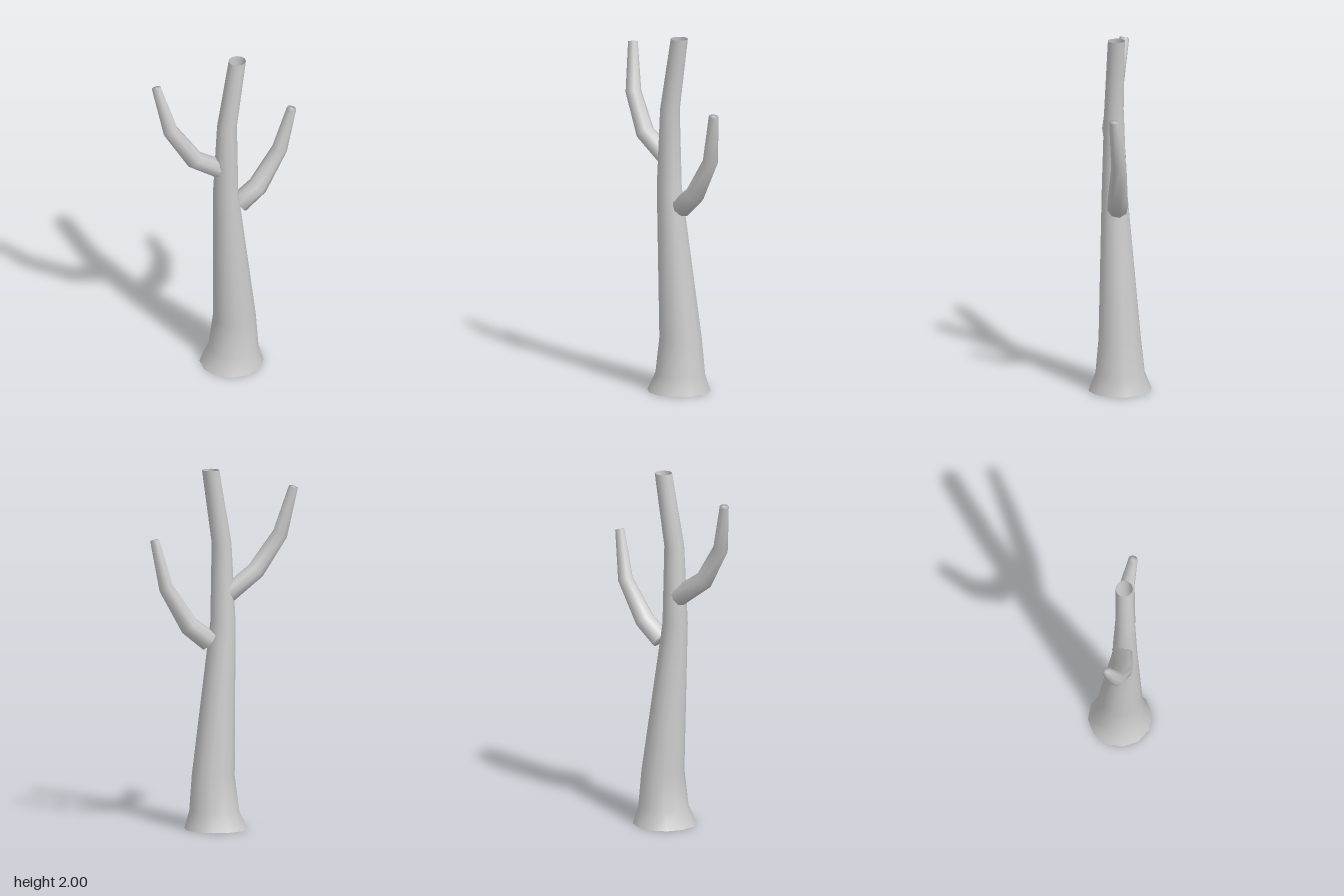
import * as THREE from 'three';

// Skin through circular rings [x, y, z, radius]; level rings stay horizontal, others follow the path
function limb(name, rings, sides, level, capped) {
  const pts = rings.map(r => new THREE.Vector3(r[0], r[1], r[2]));
  const up = new THREE.Vector3(0, 1, 0);
  const pos = [], index = [];
  rings.forEach((ring, i) => {
    const dir = up.clone();
    if (!level) {
      dir.set(0, 0, 0);
      if (i > 0) dir.add(pts[i].clone().sub(pts[i - 1]).normalize());
      if (i < pts.length - 1) dir.add(pts[i + 1].clone().sub(pts[i]).normalize());
      dir.normalize();
    }
    const q = new THREE.Quaternion().setFromUnitVectors(up, dir);
    for (let j = 0; j < sides; j++) {
      const a = (j / sides) * Math.PI * 2;
      const v = new THREE.Vector3(Math.sin(a), 0, Math.cos(a));
      v.multiplyScalar(ring[3]).applyQuaternion(q).add(pts[i]);
      pos.push(v.x, v.y, v.z);
    }
  });
  const last = (rings.length - 1) * sides;
  for (let i = 0; i < last; i += sides) {
    for (let j = 0; j < sides; j++) {
      const k = (j + 1) % sides;
      index.push(i + j, i + k, i + sides + k, i + j, i + sides + k, i + sides + j);
    }
  }
  if (capped) {
    const c = pos.length / 3;
    pos.push(...pts[0].toArray(), ...pts[pts.length - 1].toArray());
    for (let j = 0; j < sides; j++) {
      const k = (j + 1) % sides;
      index.push(c, k, j, c + 1, last + j, last + k);
    }
  }
  const geo = new THREE.BufferGeometry();
  geo.setAttribute('position', new THREE.Float32BufferAttribute(pos, 3));
  geo.setIndex(index);
  geo.computeVertexNormals();
  const mat = new THREE.MeshStandardMaterial({ color: 0xcccccc, side: THREE.DoubleSide });
  const mesh = new THREE.Mesh(geo, mat);
  mesh.name = name;
  return mesh;
}

export function createModel() {
  const tree = new THREE.Group();
  tree.name = 'bareTree';

  // Hollow trunk, flared at the foot and open at both ends
  tree.add(limb('trunk', [
    [0.045, 0, 0, 0.177],
    [0.055, 0.1, 0.002, 0.139],
    [0.06, 0.3, 0.005, 0.119],
    [-0.007, 1.15, 0.022, 0.07],
    [0, 1.59, 0.025, 0.055],
    [0.067, 2, 0.025, 0.048],
  ], 12, true, false));

  // Lower branch, curving up on the left
  tree.add(limb('leftBranch', [
    [0.078, 1.045, 0.02, 0.058],
    [0.19, 1.135, 0.042, 0.056],
    [0.32, 1.35, 0.062, 0.043],
    [0.373, 1.618, 0.1, 0.027],
  ], 8, false, true));

  // Higher branch, curving up and back on the right
  tree.add(limb('rightBranch', [
    [-0.03, 1.305, 0.005, 0.055],
    [-0.197, 1.425, 0, 0.052],
    [-0.322, 1.63, -0.05, 0.044],
    [-0.375, 1.897, -0.11, 0.027],
  ], 8, false, true));

  return tree;
}
